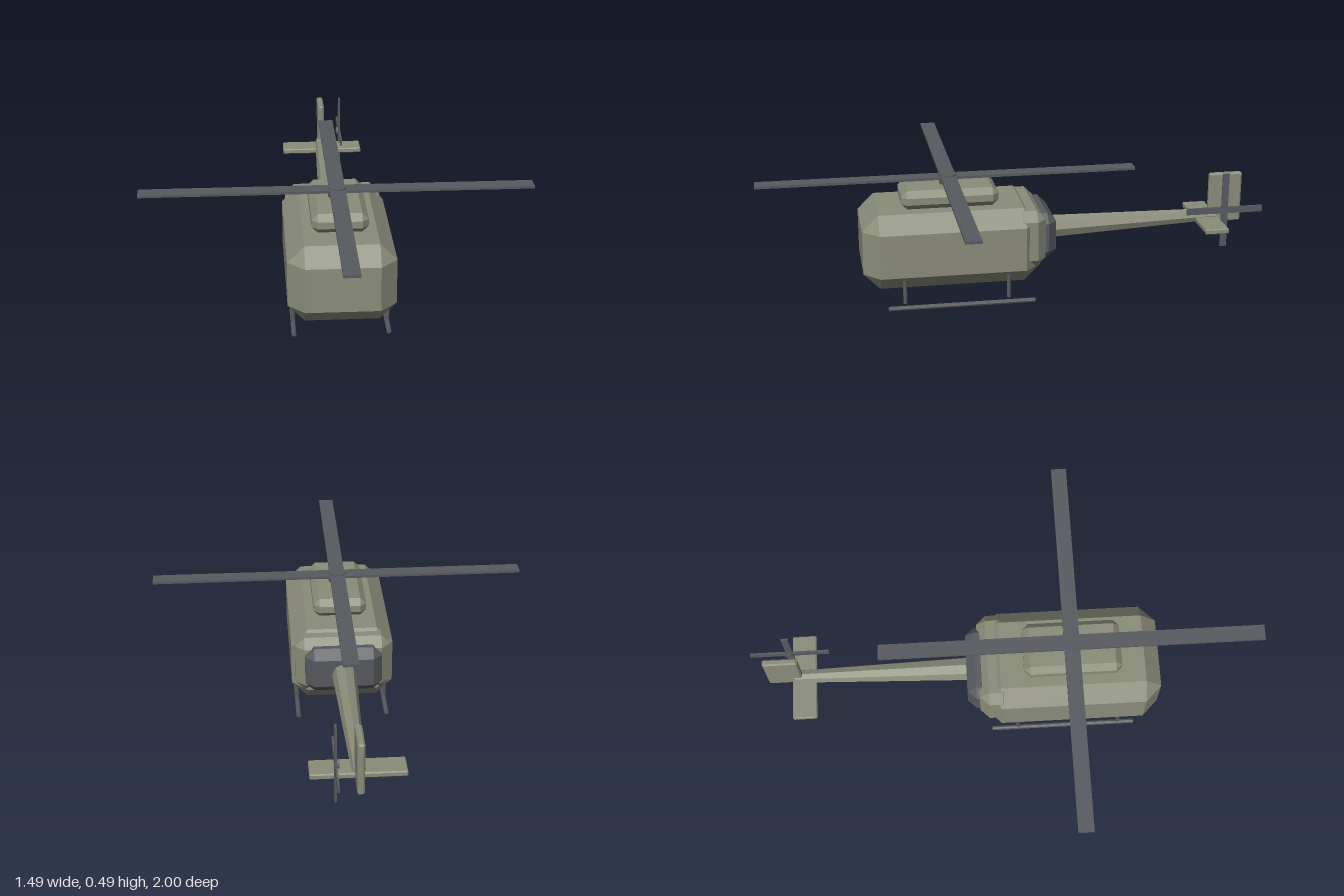
import * as THREE from 'three';
import { ConvexGeometry } from 'three/addons/geometries/ConvexGeometry.js';

// Box with every edge cut at 45 degrees, given by its extents and cut size
function chamferBox([x0, x1], [y0, y1], [z0, z1], c) {
  const h = [(x1 - x0) / 2, (y1 - y0) / 2, (z1 - z0) / 2];
  const points = [];
  for (const sx of [-1, 1]) for (const sy of [-1, 1]) for (const sz of [-1, 1]) {
    for (let axis = 0; axis < 3; axis++) {
      const [x, y, z] = h.map((v, i) => (i === axis ? v : v - c));
      points.push(new THREE.Vector3(sx * x, sy * y, sz * z));
    }
  }
  return new ConvexGeometry(points).translate((x0 + x1) / 2, (y0 + y1) / 2, (z0 + z1) / 2);
}

export function createModel() {
  const model = new THREE.Group();
  model.name = 'helicopter';
  const olive = new THREE.MeshStandardMaterial({ name: 'olive paint', color: 0x8b8d7a, flatShading: true });
  const grey = new THREE.MeshStandardMaterial({ name: 'dark grey metal', color: 0x575a5f, flatShading: true });

  function add(name, geometry, material, x = 0, y = 0, z = 0, parent = model) {
    const mesh = new THREE.Mesh(geometry, material);
    mesh.name = name;
    mesh.position.set(x, y, z);
    parent.add(mesh);
    return mesh;
  }

  // Fuselage, stepping down towards the tail
  add('cabin', chamferBox([-0.2, 0.2], [0.08, 0.38], [-0.085, 0.605], 0.063), olive);
  add('rearCollar', chamferBox([-0.187, 0.187], [0.14, 0.37], [-0.105, 0.02], 0.036), olive);
  add('rearCap', chamferBox([-0.15, 0.15], [0.16, 0.345], [-0.152, -0.06], 0.035), grey);
  add('engineCowling', chamferBox([-0.105, 0.105], [0.378, 0.453], [0.07, 0.448], 0.024), olive);

  // Tapered tail boom, rising slightly to the rear
  const start = new THREE.Vector3(0, 0.247, -0.13);
  const end = new THREE.Vector3(0, 0.26, -0.83);
  const boom = add('tailBoom', new THREE.CylinderGeometry(0.025, 0.048, start.distanceTo(end), 8), olive);
  boom.position.lerpVectors(start, end, 0.5);
  boom.quaternion.setFromUnitVectors(new THREE.Vector3(0, 1, 0), end.clone().sub(start).normalize());

  // Tail surfaces
  add('tailFin', chamferBox([-0.013, 0.013], [0.23, 0.435], [-0.935, -0.8], 0.006), olive);
  add('stabilizer', chamferBox([-0.172, 0.172], [0.235, 0.257], [-0.84, -0.745], 0.004), olive);

  // Main rotor
  const rotor = new THREE.Group();
  rotor.name = 'mainRotor';
  rotor.position.set(0, 0.48, 0.257);
  model.add(rotor);
  add('mast', new THREE.CylinderGeometry(0.035, 0.035, 0.045, 12), grey, 0, -0.0125, 0, rotor);
  add('sideBlades', new THREE.BoxGeometry(1.485, 0.01, 0.06), grey, 0, 0, 0, rotor);
  add('foreAftBlades', new THREE.BoxGeometry(0.06, 0.01, 1.485), grey, 0, 0, 0, rotor);

  // Tail rotor, carried on a short shaft beside the fin
  const tailRotor = new THREE.Group();
  tailRotor.name = 'tailRotor';
  tailRotor.position.set(0.082, 0.304, -0.845);
  model.add(tailRotor);
  add('tailHub', new THREE.CylinderGeometry(0.018, 0.018, 0.014, 10).rotateZ(Math.PI / 2), grey, -0.006, 0, 0, tailRotor);
  add('uprightBlades', new THREE.BoxGeometry(0.008, 0.305, 0.026), grey, 0, 0, 0, tailRotor);
  add('levelBlades', new THREE.BoxGeometry(0.008, 0.026, 0.31), grey, 0, 0, 0, tailRotor);

  // Landing skids with two struts each
  for (const [side, sign] of [['left', 1], ['right', -1]]) {
    const x = sign * 0.177;
    add(side + 'Skid', new THREE.CylinderGeometry(0.0095, 0.0095, 0.575, 8).rotateX(Math.PI / 2), grey, x, 0.0095, 0.228);
    for (const [place, z] of [['Front', 0.45], ['Rear', 0.045]]) {
      add(side + place + 'Strut', new THREE.CylinderGeometry(0.008, 0.008, 0.105, 8), grey, x, 0.0825, z);
    }
  }
  return model;
}
